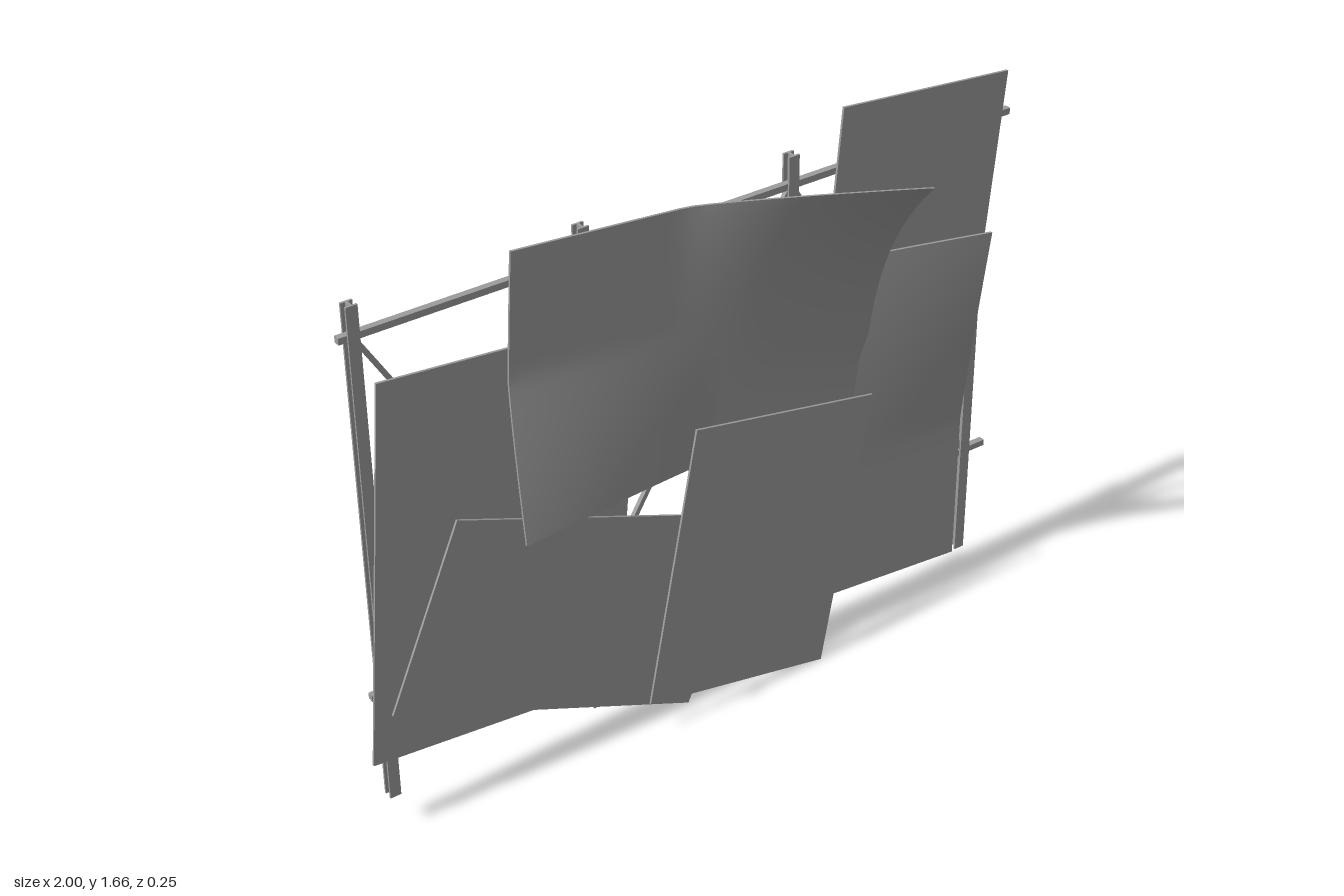
import * as THREE from 'three';

const material = new THREE.MeshStandardMaterial({ color: 0x9d9d9d, side: THREE.DoubleSide });
const FRAME_Z = -0.109;

function add(parent, name, geometry) {
  const mesh = new THREE.Mesh(geometry, material);
  mesh.name = name;
  parent.add(mesh);
  return mesh;
}

// I-section upright
function postGeometry(height, w = 0.031, d = 0.03, flange = 0.006, web = 0.007) {
  const a = w / 2, b = d / 2, c = web / 2, e = b - flange;
  const outline = [[-a, -b], [a, -b], [a, -e], [c, -e], [c, e], [a, e],
    [a, b], [-a, b], [-a, e], [-c, e], [-c, -e], [-a, -e]];
  const shape = new THREE.Shape(outline.map(([x, y]) => new THREE.Vector2(x, y)));
  const geo = new THREE.ExtrudeGeometry(shape, { depth: height, bevelEnabled: false });
  return geo.rotateX(-Math.PI / 2);
}

// Square bar between two points of the frame plane
function bar(parent, name, [x0, y0], [x1, y1], size) {
  const length = Math.hypot(x1 - x0, y1 - y0);
  const mesh = add(parent, name, new THREE.BoxGeometry(length, size, size));
  mesh.position.set((x0 + x1) / 2, (y0 + y1) / 2, FRAME_Z);
  mesh.rotation.z = Math.atan2(y1 - y0, x1 - x0);
}

// Thin sheet through four corners (bottom left, bottom right, top right, top left), bent by lift(u, v)
function sheet(parent, name, [bl, br, tr, tl], z, lift) {
  const n = lift ? 28 : 1;
  const geo = new THREE.BoxGeometry(1, 1, 0.007, n, n, 1);
  const p = geo.attributes.position;
  for (let i = 0; i < p.count; i++) {
    const u = p.getX(i) + 0.5, v = p.getY(i) + 0.5;
    const mix = (k) => (1 - v) * ((1 - u) * bl[k] + u * br[k]) + v * ((1 - u) * tl[k] + u * tr[k]);
    p.setXYZ(i, mix(0), mix(1), z + p.getZ(i) + (lift ? lift(u, v) : 0));
  }
  geo.computeVertexNormals();
  add(parent, name, geo);
}

// Rises from 0 at start to 1 at the edge
const ramp = (t, start, power) => Math.pow(Math.max(0, (t - start) / (1 - start)), power);

export function createModel() {
  const model = new THREE.Group();
  model.name = 'panelWall';

  // Supporting frame
  const frame = new THREE.Group();
  frame.name = 'frame';
  model.add(frame);
  const postX = [-0.942, -0.324, 0.295, 0.913];
  const topY = 1.482, lowY = 0.445;
  for (const x of postX) {
    add(frame, 'post', postGeometry(1.455)).position.set(x, 0.112, FRAME_Z);
  }
  bar(frame, 'topRail', [-0.98, topY], [1.0, topY], 0.018);
  bar(frame, 'lowerRail', [-0.98, lowY], [0.987, lowY], 0.018);

  // Zigzag braces between the posts
  for (let i = 0; i < 3; i++) {
    const ends = i % 2 ? [lowY, topY] : [topY, lowY];
    bar(frame, 'brace', [postX[i], ends[0]], [postX[i + 1], ends[1]], 0.013);
  }

  // Overlapping sheets, back to front
  const panels = new THREE.Group();
  panels.name = 'panels';
  model.add(panels);
  sheet(panels, 'leftPanel',
    [[-1.0, 0.248], [-0.275, 0.182], [-0.175, 1.285], [-0.902, 1.35]], -0.088);
  sheet(panels, 'upperRightPanel',
    [[0.37, 0.9], [0.9, 0.848], [0.973, 1.611], [0.44, 1.66]], -0.09);
  // Right panel, upper outer corner lifted
  sheet(panels, 'rightPanel',
    [[0.06, 0.192], [0.875, 0.122], [0.875, 1.207], [0.12, 1.238]], -0.083,
    (u, v) => 0.082 * ramp(u, 0.45, 1.1) * ramp(v, 0.42, 1.1));
  sheet(panels, 'lowerLeftPanel',
    [[-0.94, 0.388], [-0.05, 0.008], [0.18, 0.545], [-0.723, 0.897]], -0.077);
  // Upper panel, two opposite corners curling forward, lower right corner tucked back
  sheet(panels, 'curledPanel',
    [[-0.59, 0.823], [0.515, 0.735], [0.565, 1.49], [-0.54, 1.586]], -0.071,
    (u, v) => 0.193 * ramp(u, 0.45, 1.15) * ramp(v, 0.1, 3)
      + 0.094 * ramp(1 - u, 0.47, 1.1) * ramp(1 - v, 0.45, 1.15)
      - 0.011 * u * (1 - v));
  sheet(panels, 'frontPanel',
    [[-0.205, 0.108], [0.365, 0.0], [0.515, 0.823], [-0.05, 0.926]], -0.028);

  return model;
}
